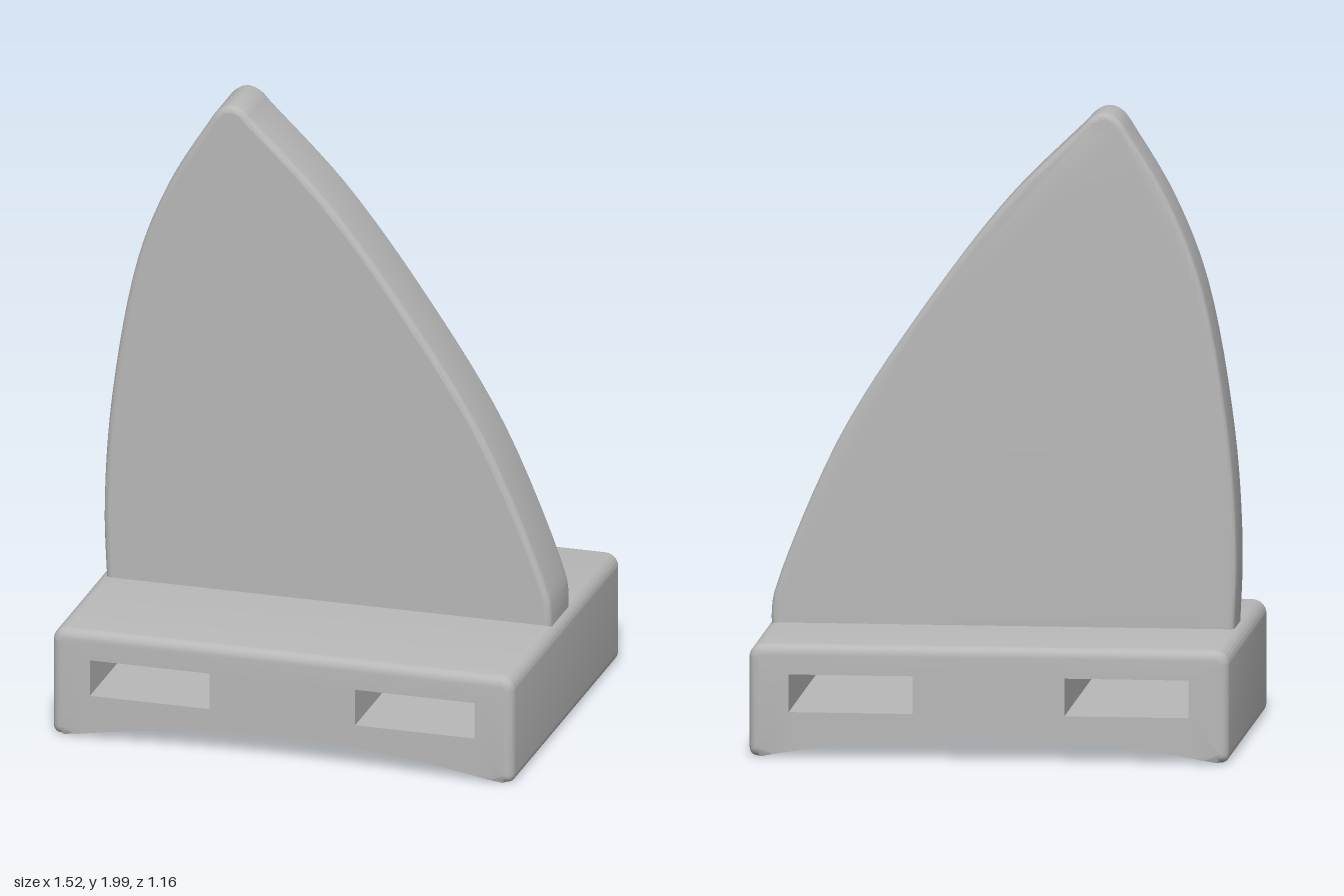
import * as THREE from 'three';
import { toCreasedNormals } from 'three/addons/utils/BufferGeometryUtils.js';

const grey = new THREE.MeshStandardMaterial({ color: 0xb8b8b8 });
grey.name = 'grey';

// Smooth closed outline through a few points (last edge stays straight)
function smoothShape(points, divisions) {
  const curve = new THREE.CatmullRomCurve3(points.map(([x, y]) => new THREE.Vector3(x, y, 0)));
  return new THREE.Shape(curve.getPoints(divisions).map((p) => new THREE.Vector2(p.x, p.y)));
}

function addPart(group, name, geometry) {
  const mesh = new THREE.Mesh(toCreasedNormals(geometry, 0.6), grey);
  mesh.name = name;
  group.add(mesh);
}

// Rounded block with an arched underside and two slots running front to back
function baseGeometry() {
  const w = 0.76, h = 0.365, d = 0.58, bevel = 0.03, r = 0.045;
  const slot = { x0: 0.24, x1: 0.633, y0: 0.15, y1: 0.27 };
  const arch = (x) => 0.08 - 0.14 * x * x;

  const shape = new THREE.Shape();
  shape.moveTo(-0.72, arch(0.72));
  for (let i = 1; i <= 32; i++) {
    const x = -0.72 + (1.44 * i) / 32;
    shape.lineTo(x, arch(x));
  }
  shape.quadraticCurveTo(w, 0, w, 0.04);
  shape.lineTo(w, h - r);
  shape.absarc(w - r, h - r, r, 0, Math.PI / 2, false);
  shape.absarc(-w + r, h - r, r, Math.PI / 2, Math.PI, false);
  shape.lineTo(-w, 0.04);
  shape.quadraticCurveTo(-w, 0, -0.72, arch(0.72));

  for (const s of [-1, 1]) {
    const hole = new THREE.Path();
    hole.moveTo(s * slot.x0, slot.y0);
    hole.lineTo(s * slot.x0, slot.y1);
    hole.lineTo(s * slot.x1, slot.y1);
    hole.lineTo(s * slot.x1, slot.y0);
    hole.closePath();
    shape.holes.push(hole);
  }

  const geometry = new THREE.ExtrudeGeometry(shape, {
    depth: 2 * (d - bevel), bevelThickness: bevel, bevelSize: bevel,
    bevelOffset: -bevel, bevelSegments: 4, curveSegments: 6,
  });
  geometry.translate(0, 0, bevel - d);

  // Keep the slot rims and the arch edge sharp: undo the bevel there
  const pos = geometry.attributes.position;
  const clamp = THREE.MathUtils.clamp;
  for (let i = 0; i < pos.count; i++) {
    const x = pos.getX(i), y = pos.getY(i), ax = Math.abs(x);
    if (ax > 0.2 && ax < 0.67 && y > 0.115 && y < 0.31) {
      pos.setX(i, Math.sign(x) * clamp(ax, slot.x0, slot.x1));
      pos.setY(i, clamp(y, slot.y0, slot.y1));
    } else if (ax < 0.722 && y < arch(x) + 0.04) {
      pos.setY(i, arch(x));
    }
  }
  return geometry;
}

export function createModel() {
  const model = new THREE.Group();
  model.name = 'finOnStand';
  addPart(model, 'base', baseGeometry());

  // Fin face outline; the bevel adds 0.02 all round
  const finOutline = [
    [-0.705, 0.33], [-0.714, 0.6], [-0.69, 0.97], [-0.605, 1.445], [-0.502, 1.71],
    [-0.385, 1.908], [-0.343, 1.968], [-0.315, 1.98], [-0.285, 1.968], [-0.258, 1.94],
    [-0.015, 1.697], [0.258, 1.339], [0.512, 0.936], [0.708, 0.465], [0.718, 0.41], [0.718, 0.33],
  ];
  const recessOutline = [
    [-0.455, 0.523], [-0.471, 0.535], [-0.476, 0.57], [-0.476, 0.785], [-0.44, 1.075],
    [-0.37, 1.37], [-0.307, 1.525], [-0.243, 1.62], [-0.206, 1.637], [-0.16, 1.615],
    [0.01, 1.41], [0.222, 1.13], [0.38, 0.855], [0.465, 0.68], [0.481, 0.59], [0.458, 0.533], [0.423, 0.523],
  ];
  const half = 0.107, bevel = 0.02, recess = 0.04;

  // Fin body, with its front cap sunk to become the recess floor
  const body = new THREE.ExtrudeGeometry(smoothShape(finOutline, 90), {
    depth: 2 * (half - bevel), bevelThickness: bevel, bevelSize: bevel, bevelSegments: 4,
  });
  body.translate(0, 0, bevel - half);
  const pos = body.attributes.position;
  for (let i = 0; i < body.groups[0].count; i++) {
    if (pos.getZ(i) > 0) pos.setZ(i, half - recess);
  }
  addPart(model, 'finBody', body);

  // Front layer of the fin, surrounding the recess
  const frame = smoothShape(finOutline, 90);
  frame.holes.push(smoothShape(recessOutline, 80));
  const frameGeometry = new THREE.ExtrudeGeometry(frame, { depth: recess, bevelEnabled: false });
  frameGeometry.translate(0, 0, half - recess);
  addPart(model, 'finFrontFrame', frameGeometry);

  return model;
}
